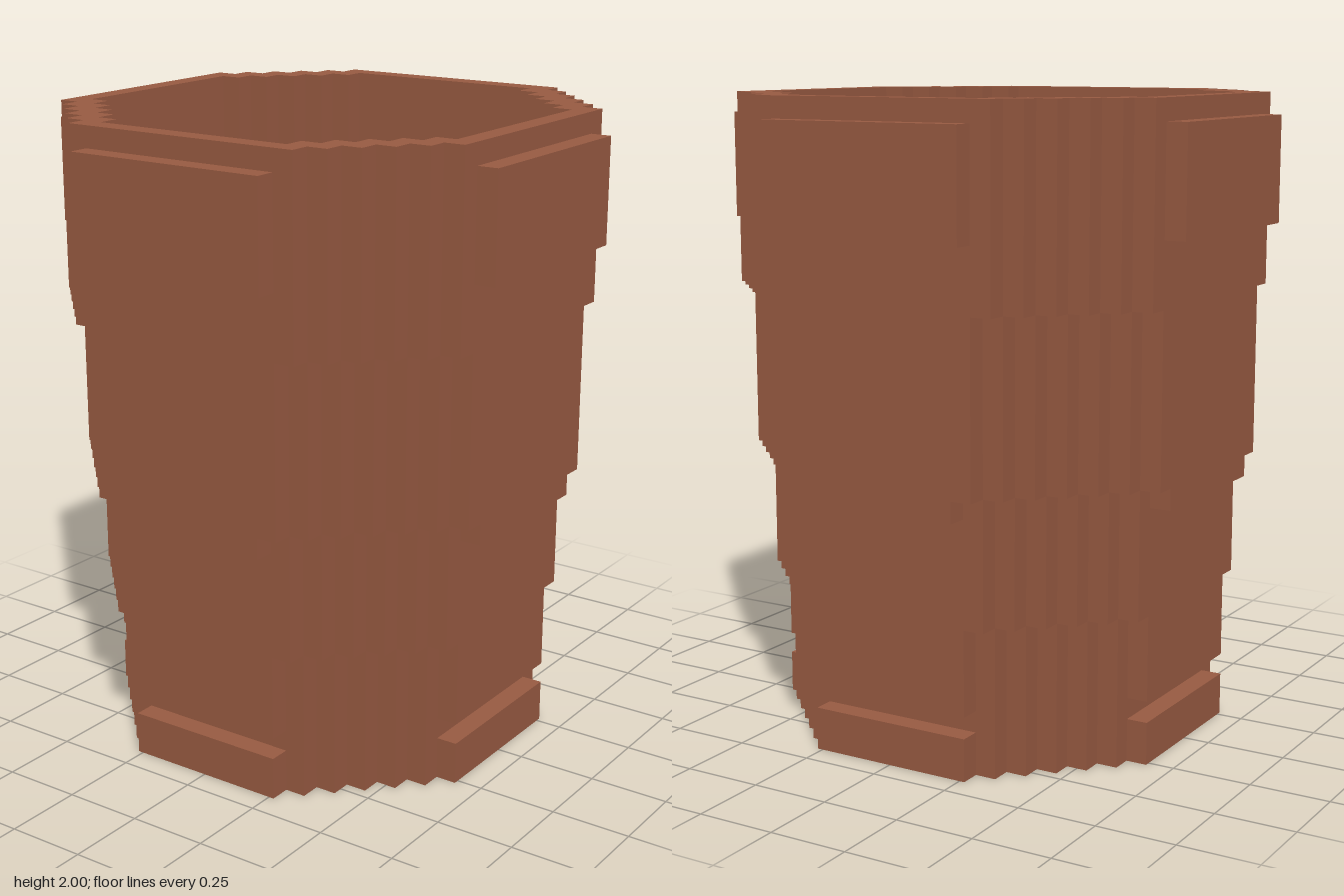
import * as THREE from 'three';

const U = 1 / 15; // size of one block

// Stepped octagon: flats at distance m, corners where |x| + |z| = s
function outline(m, s) {
  const quarter = [];
  for (let x = m; x >= s - m; x--) {
    quarter.push([x, s - x]);
    if (x > s - m) quarter.push([x - 1, s - x]);
  }
  const points = [];
  for (let k = 0; k < 4; k++) {
    for (const [x, z] of quarter) {
      const [px, pz] = [[x, z], [-z, x], [-x, -z], [z, -x]][k];
      points.push(new THREE.Vector2(px * U, pz * U));
    }
  }
  return points;
}

// One course of the wall, hollow when an inner outline is given
function courseGeometry(y0, y1, outer, inner) {
  const shape = new THREE.Shape(outline(...outer));
  if (inner) shape.holes.push(new THREE.Path(outline(...inner)));
  const geometry = new THREE.ExtrudeGeometry(shape, { depth: (y1 - y0) * U, bevelEnabled: false });
  return geometry.rotateX(-Math.PI / 2).translate(0, y0 * U, 0);
}

export function createModel() {
  const model = new THREE.Group();
  model.name = 'pot';
  const clay = new THREE.MeshStandardMaterial({ color: 0x995b42 });
  clay.name = 'terracotta';

  // Courses: name, bottom, top, outer [flat, corner], inner [flat, corner]
  const courses = [
    ['foot', 0, 2, [10, 14], null],
    ['footGroove', 2, 3, [9, 14], [8, 12]],
    ['lowerWall', 3, 7, [10, 14], [8, 12]],
    ['lowerWall', 7, 12, [10, 15], [8, 12]],
    ['middleWall', 12, 13, [11, 15], [9, 13]],
    ['middleWall', 13, 18, [11, 16], [9, 13]],
    ['middleWall', 18, 21, [11, 16], [9, 14]],
    ['upperWall', 21, 22, [11, 17], [9, 14]],
    ['upperWall', 22, 26, [11, 17], [10, 14]],
    ['rim', 26, 30, [11, 17], [10, 15]],
  ];
  for (const [name, y0, y1, outer, inner] of courses) {
    const mesh = new THREE.Mesh(courseGeometry(y0, y1, outer, inner), clay);
    mesh.name = name;
    model.add(mesh);
  }

  // Raised band panels on the four flat sides
  for (let k = 0; k < 4; k++) {
    const geometry = new THREE.BoxGeometry(10 * U, 5 * U, U);
    geometry.translate(0, 26.5 * U, 11.5 * U).rotateY((k * Math.PI) / 2);
    const panel = new THREE.Mesh(geometry, clay);
    panel.name = 'rimPanel';
    model.add(panel);
  }
  return model;
}
